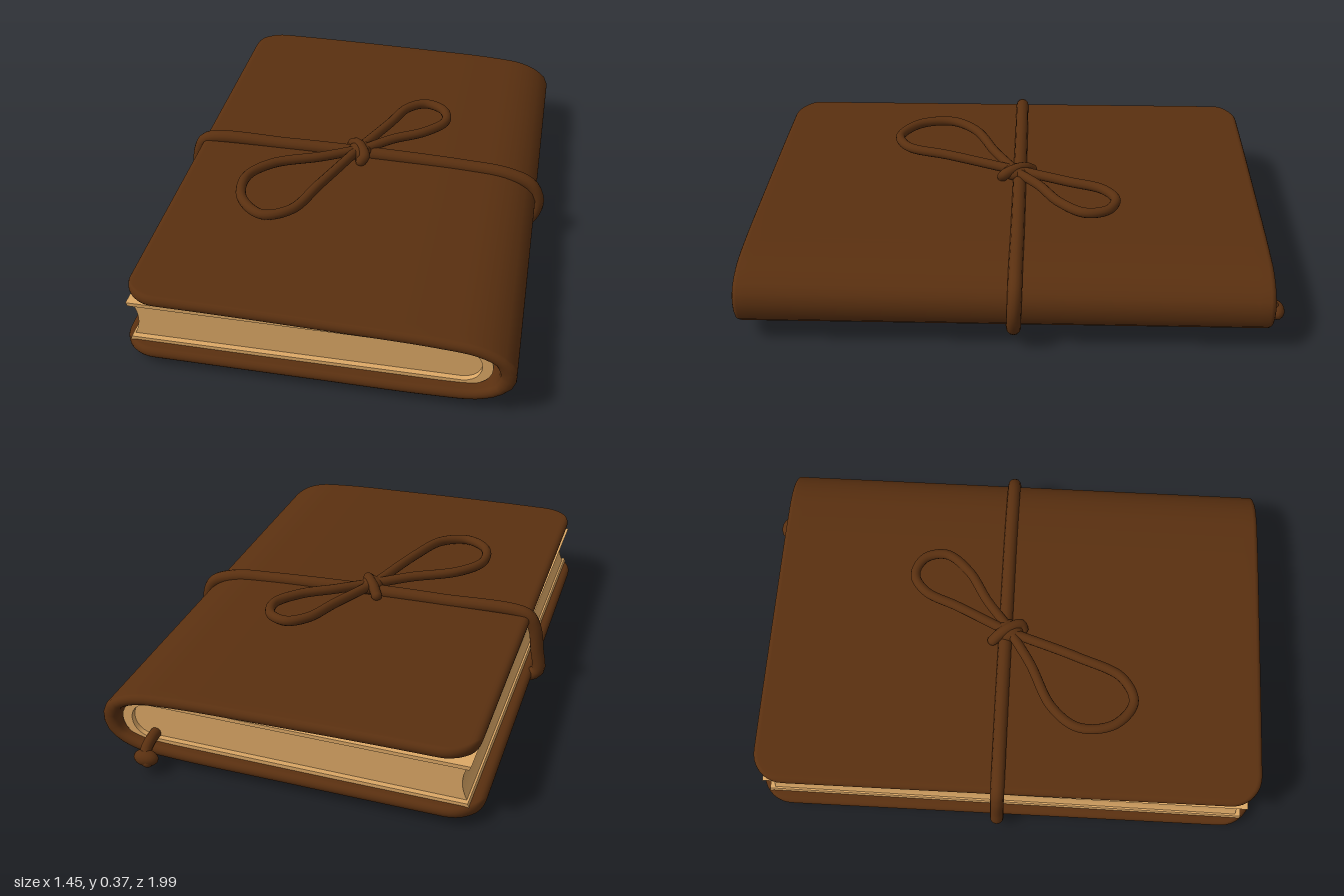
import * as THREE from 'three';
import { toCreasedNormals } from 'three/addons/utils/BufferGeometryUtils.js';

const V = (x, y, z) => new THREE.Vector3(x, y, z);
const leather = new THREE.MeshStandardMaterial({ color: 0x5a3010 });
leather.name = 'brown leather';
const paper = new THREE.MeshStandardMaterial({ color: 0xdca866 });
paper.name = 'cream paper';

function add(parent, name, geometry, material) {
  const mesh = new THREE.Mesh(geometry, material);
  mesh.name = name;
  parent.add(mesh);
  return mesh;
}

// Smooth cord through points, with rounded ends when open
function cord(parent, name, points, radius, closed = false) {
  const curve = new THREE.CatmullRomCurve3(points.map(p => V(...p)), closed);
  const group = new THREE.Group();
  group.name = name;
  parent.add(group);
  add(group, name + 'Cord', new THREE.TubeGeometry(curve, points.length * 10, radius, 12, closed), leather);
  if (!closed) for (const p of [points[0], points[points.length - 1]])
    add(group, name + 'End', new THREE.SphereGeometry(radius, 12, 8), leather).position.set(...p);
  return group;
}

// Leather sheet wrapped round the spine, lofted along its bent path
function coverGeometry() {
  const path = new THREE.CatmullRomCurve3([
    [-0.655, 0.288], [-0.3, 0.286], [0.1, 0.278], [0.42, 0.268], [0.56, 0.252], [0.635, 0.215],
    [0.66, 0.16], [0.635, 0.1], [0.56, 0.064], [0.42, 0.053], [0, 0.051], [-0.68, 0.051],
  ].map(([x, y]) => V(x, y, 0)));
  path.arcLengthDivisions = 800;
  const length = path.getLength(), corner = 0.12;
  const ends = [0, 0.002, 0.005, 0.01, 0.016, 0.025, 0.04, 0.06, 0.08, 0.1, 0.12];
  const stations = [...ends];
  for (let i = 1; i < 90; i++) stations.push(0.12 + (length - 0.24) * i / 90);
  stations.push(...ends.map(d => length - d).reverse());

  const pos = [], index = [];
  let n = 0;
  stations.forEach((s, i) => {
    const p = path.getPointAt(s / length), t = path.getTangentAt(s / length);
    const d = Math.min(s, length - s);
    const inset = d < corner ? corner - Math.sqrt(corner ** 2 - (corner - d) ** 2) : 0;
    const k = Math.max(0, 1 - d / 0.025);
    const spine = Math.max(0, t.x < 0.7 && t.x > -0.7 ? 0.006 : 0);
    const h = 0.021 * Math.sqrt(1.02 - k * k) + spine;
    const z0 = -0.93 + inset, z1 = 0.99 - inset;
    // Flat faces with half-round edges
    const ring = [[z0 + 0.06, h], [z1 - 0.06, h]];
    for (let a = 0; a <= 8; a++)
      ring.push([z1 - 0.02 + 0.02 * Math.sin(a * Math.PI / 8), h * Math.cos(a * Math.PI / 8)]);
    ring.push([z1 - 0.06, -h], [z0 + 0.06, -h]);
    for (let a = 0; a <= 8; a++)
      ring.push([z0 + 0.02 - 0.02 * Math.sin(a * Math.PI / 8), -h * Math.cos(a * Math.PI / 8)]);
    n = ring.length;
    for (const [z, v] of ring) pos.push(p.x - t.y * v + 0.008 * z, p.y + t.x * v, z);
    if (i) for (let j = 0; j < n; j++) {
      const a = (i - 1) * n + j, b = (i - 1) * n + (j + 1) % n;
      index.push(a, b, a + n, b, b + n, a + n);
    }
  });
  const last = (stations.length - 1) * n;
  for (let j = 1; j < n - 1; j++) index.push(0, j + 1, j, last, last + j, last + j + 1);
  const g = new THREE.BufferGeometry();
  g.setAttribute('position', new THREE.Float32BufferAttribute(pos, 3));
  g.setIndex(index);
  g.computeVertexNormals();
  return g;
}

function extrude(shape, z0, z1) {
  const g = new THREE.ExtrudeGeometry(shape, { depth: z1 - z0, bevelEnabled: false, curveSegments: 12 });
  g.translate(0, 0, z0);
  return toCreasedNormals(g, 0.6);
}

export function createModel() {
  const model = new THREE.Group();
  model.name = 'leatherJournal';
  add(model, 'cover', coverGeometry(), leather);

  // Page block: hollow fore edge, rounded spine
  const pages = new THREE.Group();
  pages.name = 'pages';
  model.add(pages);
  const block = new THREE.Shape();
  block.moveTo(-0.635, 0.08);
  block.lineTo(0.52, 0.085);
  block.bezierCurveTo(0.62, 0.09, 0.62, 0.222, 0.52, 0.228);
  block.lineTo(-0.635, 0.228);
  block.quadraticCurveTo(-0.595, 0.154, -0.635, 0.08);
  add(pages, 'pageBlock', extrude(block, -0.875, 0.925), paper);

  // Endpapers wrapping the block and spine
  const wrap = new THREE.Shape();
  wrap.moveTo(-0.645, 0.07);
  wrap.lineTo(0.52, 0.075);
  wrap.bezierCurveTo(0.645, 0.08, 0.645, 0.232, 0.52, 0.238);
  wrap.lineTo(-0.645, 0.236);
  wrap.lineTo(-0.64, 0.222);
  wrap.lineTo(0.51, 0.224);
  wrap.bezierCurveTo(0.6, 0.22, 0.6, 0.094, 0.51, 0.089);
  wrap.lineTo(-0.64, 0.084);
  add(pages, 'endpapers', extrude(wrap, -0.895, 0.945), paper);

  // Strap round the whole book
  cord(model, 'strap', [
    [-0.64, 0.305, 0], [-0.3, 0.312, -0.005], [0, 0.308, -0.008], [0.4, 0.292, -0.012], [0.57, 0.276, -0.012],
    [0.665, 0.235, -0.012], [0.694, 0.16, -0.01], [0.665, 0.08, -0.008], [0.57, 0.04, 0],
    [0.4, 0.028, 0], [0, 0.026, 0], [-0.4, 0.027, 0], [-0.64, 0.035, 0], [-0.698, 0.065, 0],
    [-0.69, 0.16, 0], [-0.672, 0.26, 0],
  ], 0.026, true);

  // Bow on top
  const bow = new THREE.Group();
  bow.name = 'bow';
  model.add(bow);
  cord(bow, 'backLoop', [
    [-0.02, 0.33, 0], [0.07, 0.335, -0.2], [0.125, 0.337, -0.33], [0.195, 0.335, -0.378], [0.27, 0.333, -0.345],
    [0.29, 0.333, -0.26], [0.22, 0.334, -0.165], [0.1, 0.335, -0.085], [0, 0.33, 0],
  ], 0.019);
  cord(bow, 'frontLoop', [
    [-0.02, 0.33, 0.01], [-0.15, 0.338, 0.095], [-0.32, 0.345, 0.185], [-0.395, 0.346, 0.29], [-0.375, 0.342, 0.425],
    [-0.28, 0.334, 0.497], [-0.185, 0.335, 0.45], [-0.115, 0.34, 0.28], [-0.03, 0.33, 0.03],
  ], 0.019);
  cord(bow, 'knotWrap', [
    [-0.055, 0.315, -0.055], [-0.035, 0.335, -0.03], [-0.01, 0.343, 0.005], [0.012, 0.33, 0.05], [0.0, 0.312, 0.06],
  ], 0.021);
  const knot = add(bow, 'knot', new THREE.SphereGeometry(1, 20, 14), leather);
  knot.scale.set(0.045, 0.03, 0.055);
  knot.position.set(-0.015, 0.326, 0.005);

  // Bookmark cord with a knotted tail at the back
  const bookmark = cord(model, 'bookmark', [
    [0.5, 0.1, -0.85], [0.5, 0.094, -0.92], [0.5, 0.075, -0.955], [0.485, 0.045, -0.978],
  ], 0.02);
  const tail = add(bookmark, 'bookmarkKnot', new THREE.SphereGeometry(1, 16, 12), leather);
  tail.scale.set(0.046, 0.03, 0.03);
  tail.position.set(0.495, 0.055, -0.968);
  return model;
}
